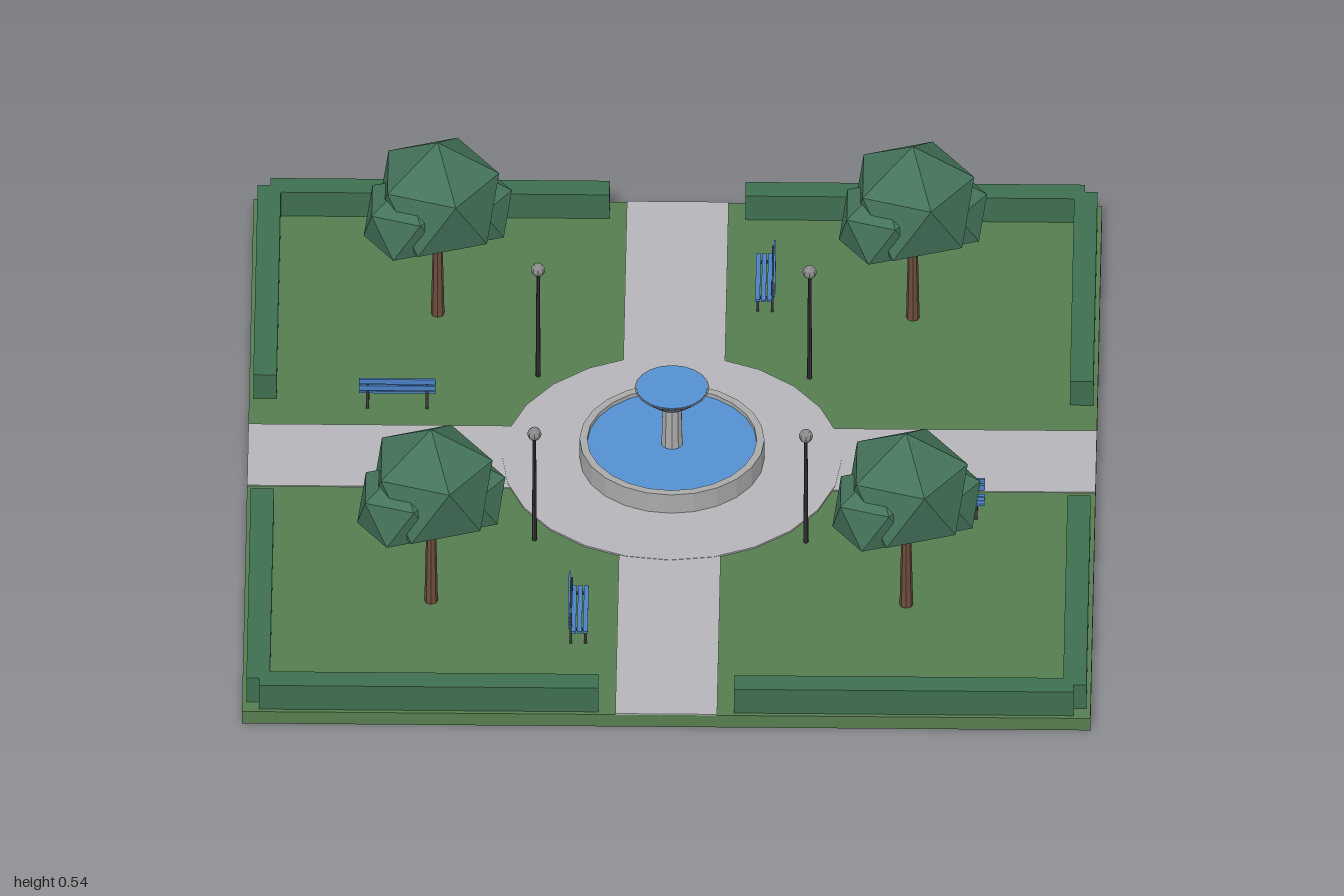
import * as THREE from 'three';

const mat = (color) => new THREE.MeshStandardMaterial({ color, flatShading: true });
const M = {
  grass: mat(0x567d4f), path: mat(0xb6b6ba), hedge: mat(0x3f6f50), leaf: mat(0x44735a),
  bark: mat(0x6b4d3c), stone: mat(0xaaaaaa), bowl: mat(0x7c8084), water: mat(0x5590d2),
  slat: mat(0x4a80c4), metal: mat(0x3a3a3e), lamp: mat(0x8a8a8a),
};
const GROUND = 0.035;

function add(parent, name, geo, material, x = 0, y = 0, z = 0) {
  const mesh = new THREE.Mesh(geo, material);
  mesh.name = name;
  mesh.position.set(x, y, z);
  parent.add(mesh);
  return mesh;
}
const box = (w, h, d) => new THREE.BoxGeometry(w, h, d);
const cyl = (top, bottom, h, n) => new THREE.CylinderGeometry(top, bottom, h, n);

// Icosahedron standing on one vertex
const blob = (r) => new THREE.IcosahedronGeometry(r, 0).rotateZ(-Math.atan(2 / (1 + Math.sqrt(5))));

function makeTree() {
  const g = new THREE.Group();
  g.name = 'tree';
  add(g, 'trunk', cyl(0.011, 0.016, 0.24, 8), M.bark, 0, GROUND + 0.12, 0);
  add(g, 'crown', blob(0.162), M.leaf, 0, 0.378, 0);
  add(g, 'leftLeafClump', blob(0.115), M.leaf, -0.071, 0.345, 0.04);
  add(g, 'rightLeafClump', blob(0.108), M.leaf, 0.078, 0.325, -0.036);
  return g;
}

function makeLamp() {
  const g = new THREE.Group();
  g.name = 'lampPost';
  add(g, 'pole', cyl(0.004, 0.006, 0.3, 8), M.metal, 0, GROUND + 0.15, 0);
  add(g, 'globe', new THREE.SphereGeometry(0.017, 8, 6), M.lamp, 0, 0.348, 0);
  return g;
}

// Bench facing +z, backrest at -z
function makeBench() {
  const g = new THREE.Group();
  g.name = 'bench';
  for (const z of [-0.01, 0.004, 0.018]) add(g, 'seatSlat', box(0.18, 0.006, 0.011), M.slat, 0, 0.08, z);
  for (const y of [0.098, 0.117]) add(g, 'backSlat', box(0.18, 0.014, 0.005), M.slat, 0, y, -0.021);
  for (const x of [-0.07, 0.07]) {
    add(g, 'rearLeg', box(0.007, 0.085, 0.006), M.metal, x, GROUND + 0.0425, -0.0165);
    add(g, 'frontLeg', box(0.007, 0.043, 0.006), M.metal, x, GROUND + 0.0215, 0.018);
    add(g, 'seatRail', box(0.007, 0.005, 0.036), M.metal, x, 0.0745, 0.003);
  }
  return g;
}

function makeFountain() {
  const g = new THREE.Group();
  g.name = 'fountain';
  const profile = [[0.218, GROUND], [0.218, 0.093], [0.2, 0.093], [0.2, GROUND]];
  const basin = new THREE.LatheGeometry(profile.map(([x, y]) => new THREE.Vector2(x, y)), 24);
  add(g, 'basin', basin, M.stone);
  add(g, 'basinWater', cyl(0.2, 0.2, 0.04, 24), M.water, 0, 0.062, 0);
  add(g, 'column', cyl(0.023, 0.026, 0.13, 10), M.stone, 0, 0.145, 0);
  add(g, 'upperBowl', cyl(0.088, 0.045, 0.04, 20), M.bowl, 0, 0.225, 0);
  add(g, 'upperWater', cyl(0.084, 0.084, 0.003, 20), M.water, 0, 0.2455, 0);
  return g;
}

export function createModel() {
  const park = new THREE.Group();
  park.name = 'park';

  // Lawn, crossing paths and round plaza
  add(park, 'lawn', box(2, GROUND, 2), M.grass, 0, GROUND / 2, 0);
  add(park, 'longPath', box(0.24, 0.004, 2), M.path, 0, GROUND + 0.001, 0);
  add(park, 'crossPath', box(2, 0.004, 0.24), M.path, 0, GROUND + 0.0005, 0);
  add(park, 'plaza', cyl(0.4, 0.4, 0.005, 24), M.path, 0, GROUND + 0.0015, 0);
  park.add(makeFountain());

  // Each quarter has two hedges, a tree and a lamp
  for (const sx of [-1, 1]) for (const sz of [-1, 1]) {
    add(park, 'endHedge', box(0.8, 0.07, 0.055), M.hedge, sx * 0.56, GROUND + 0.035, sz * 0.9625);
    add(park, 'sideHedge', box(0.055, 0.07, 0.74), M.hedge, sx * 0.9625, GROUND + 0.035, sz * 0.592);
    const tree = makeTree();
    tree.position.set(sx * 0.56, 0, sz * 0.56);
    const lamp = makeLamp();
    lamp.position.set(sx * 0.32, 0, sz * 0.32);
    park.add(tree, lamp);
  }

  // Benches beside the paths: x, z, turn
  const benches = [
    [0.65, 0.206, 0], [-0.65, -0.206, Math.PI],
    [0.212, -0.65, -Math.PI / 2], [-0.212, 0.65, Math.PI / 2],
  ];
  for (const [x, z, turn] of benches) {
    const bench = makeBench();
    bench.position.set(x, 0, z);
    bench.rotation.y = turn;
    park.add(bench);
  }
  return park;
}
